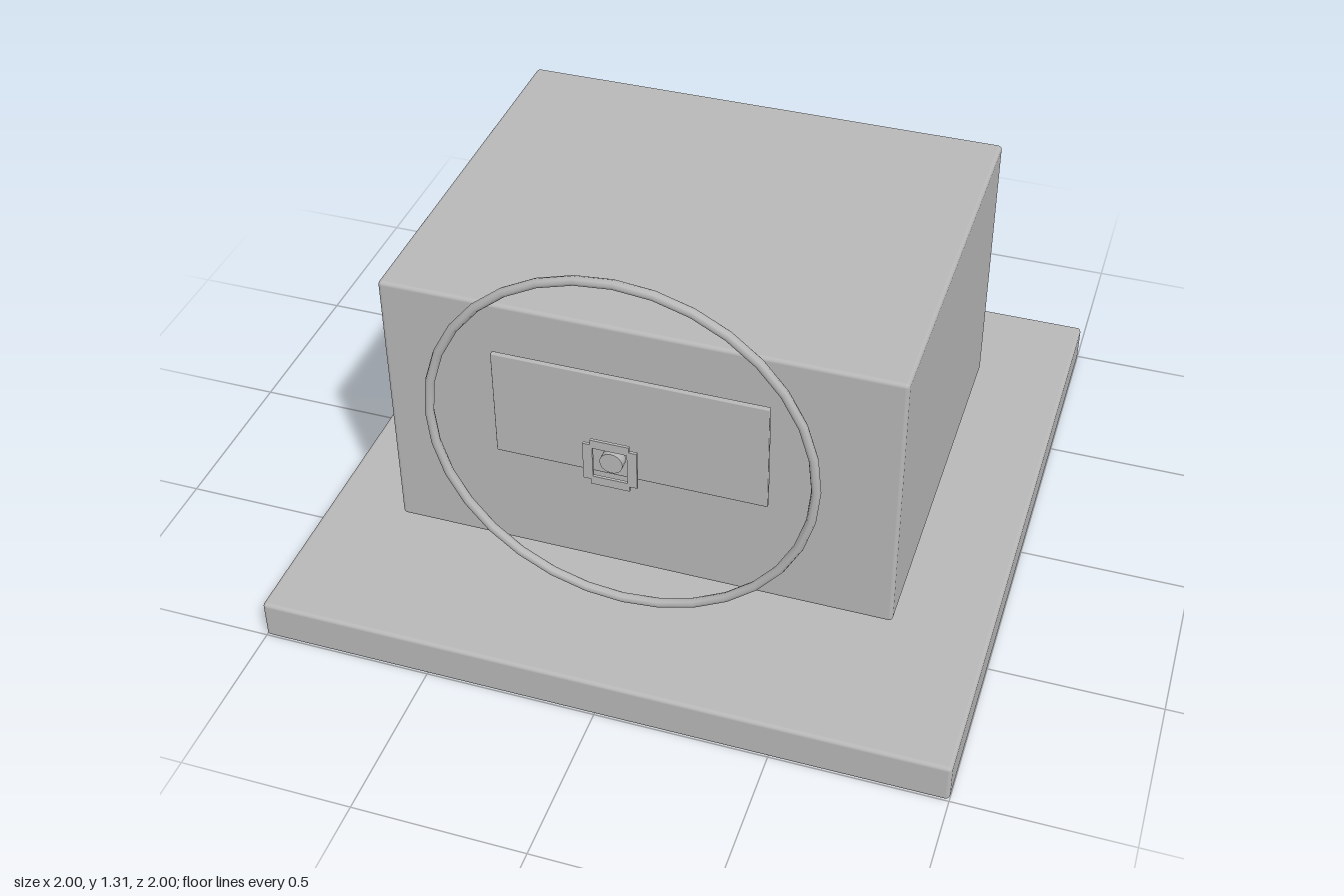
import * as THREE from 'three';
import { RoundedBoxGeometry } from 'three/addons/geometries/RoundedBoxGeometry.js';

export function createModel() {
  const model = new THREE.Group();
  const grey = new THREE.MeshStandardMaterial({ color: 0xb8b8b8 });
  grey.name = 'plainGrey';

  function add(parent, name, geometry, x, y, z) {
    const mesh = new THREE.Mesh(geometry, grey);
    mesh.name = name;
    mesh.position.set(x, y, z);
    parent.add(mesh);
    return mesh;
  }

  // Softly bevelled slab and main block
  add(model, 'base', new RoundedBoxGeometry(2, 0.123, 2, 2, 0.012), 0, 0.0615, 0);
  add(model, 'body', new RoundedBoxGeometry(1.472, 0.84, 1.192, 2, 0.012), 0, 0.615, 0);

  // Thin panel floating ahead of the body
  add(model, 'frontPanel', new RoundedBoxGeometry(0.778, 0.336, 0.015, 1, 0.003), 0, 0.751, 0.653);

  // Large upright ring
  add(model, 'ring', new THREE.TorusGeometry(0.541, 0.0135, 8, 32), 0, 0.751, 0.743);

  // Small badge: four bars around an open square, with a round stud behind
  const badge = new THREE.Group();
  badge.name = 'badge';
  badge.position.set(0, 0.751, 0);
  model.add(badge);
  for (const side of [-1, 1]) {
    add(badge, 'badgeCrossBar', new THREE.BoxGeometry(0.108, 0.027, 0.008), 0, side * 0.0615, 0.806);
    add(badge, 'badgeSideBar', new THREE.BoxGeometry(0.027, 0.118, 0.008), side * 0.0615, 0, 0.806);
  }
  const stud = add(badge, 'badgeStud', new THREE.CylinderGeometry(0.032, 0.032, 0.028, 20), 0, 0, 0.787);
  stud.rotation.x = Math.PI / 2;

  return model;
}
